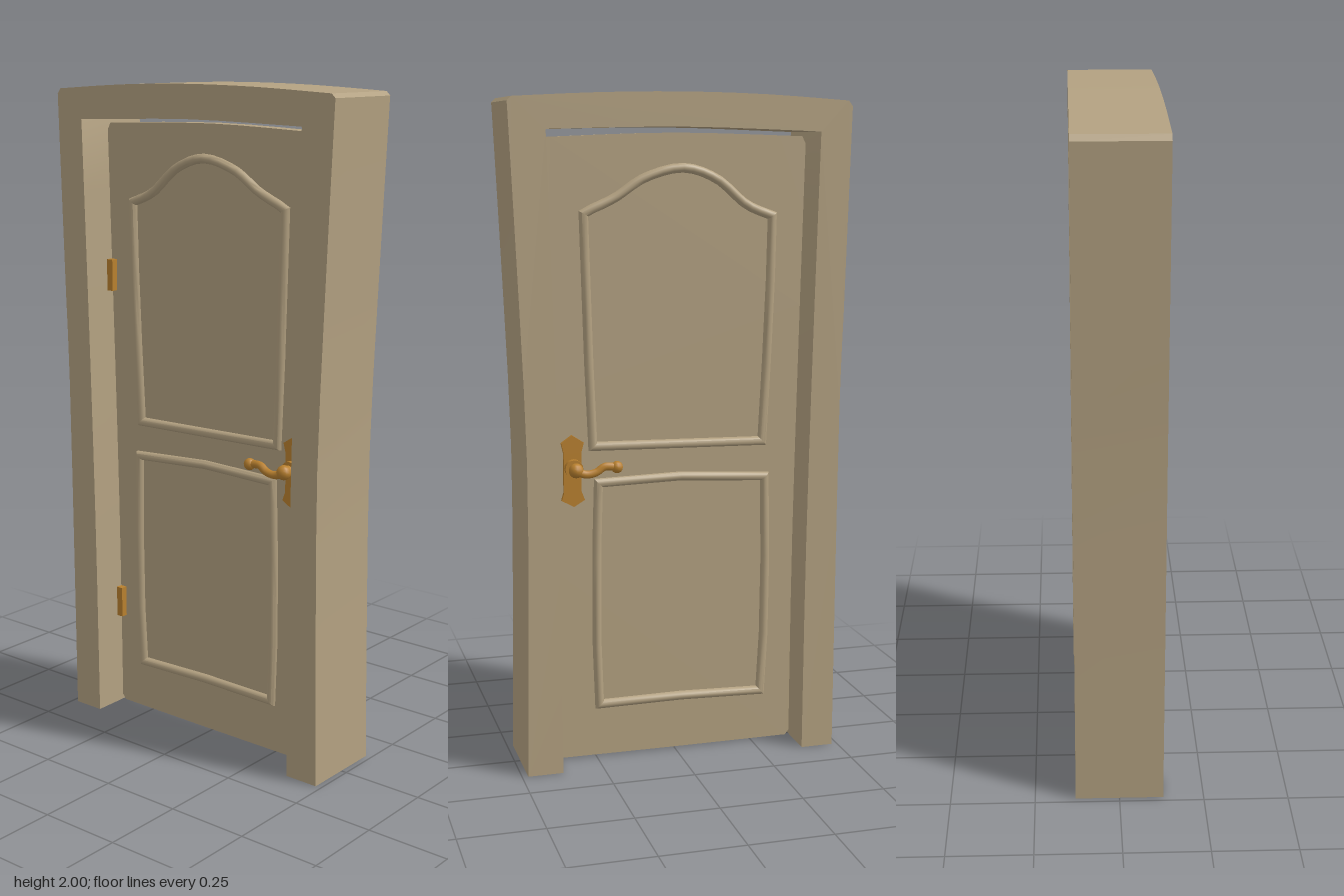
import * as THREE from 'three';
import { toCreasedNormals } from 'three/addons/utils/BufferGeometryUtils.js';

const V2 = (p) => new THREE.Vector2(p[0], p[1]);
// smooth run of points through a few knots
const curve = (knots, n = 8) => new THREE.SplineCurve(knots.map(V2)).getPoints(n);

// flat outline given thickness between z0 and z1
function slab(points, z0, z1) {
  const geo = new THREE.ExtrudeGeometry(new THREE.Shape(points), { depth: z1 - z0, bevelEnabled: false });
  geo.translate(0, 0, z0);
  return toCreasedNormals(geo, 0.45);
}

// remove the faces lying on the ground (the casing is open underneath)
function openBottom(geo) {
  const p = geo.attributes.position, kept = [];
  for (let i = 0; i < p.count; i += 3) {
    if (Math.max(p.getY(i), p.getY(i + 1), p.getY(i + 2)) < 0.001) continue;
    for (let k = i; k < i + 3; k++) kept.push(p.getX(k), p.getY(k), p.getZ(k));
  }
  const out = new THREE.BufferGeometry();
  out.setAttribute('position', new THREE.Float32BufferAttribute(kept, 3));
  return toCreasedNormals(out, 0.45);
}

// half-round bead swept round a closed outline with mitred corners (s = +1 front, -1 back)
function bead(points, radius, z, s) {
  const n = points.length, m = 6, pos = [], idx = [];
  for (let i = 0; i < n; i++) {
    const a = points[(i + n - 1) % n], b = points[i], c = points[(i + 1) % n];
    const d1 = b.clone().sub(a).normalize(), d2 = c.clone().sub(b).normalize();
    const n1 = new THREE.Vector2(d1.y, -d1.x), n2 = new THREE.Vector2(d2.y, -d2.x);
    const mitre = n1.clone().add(n2).normalize();
    mitre.divideScalar(Math.max(0.5, mitre.dot(n1)));
    for (let j = 0; j <= m; j++) {
      const t = Math.PI * j / m, r = Math.cos(t) * radius;
      pos.push(b.x + mitre.x * r, b.y + mitre.y * r, s * (z + Math.sin(t) * radius * 1.1));
    }
    for (let j = 0; j < m; j++) {
      const p = i * (m + 1) + j, q = ((i + 1) % n) * (m + 1) + j;
      if (s > 0) idx.push(p, q, q + 1, p, q + 1, p + 1);
      else idx.push(p, q + 1, q, p, p + 1, q + 1);
    }
  }
  const geo = new THREE.BufferGeometry();
  geo.setAttribute('position', new THREE.Float32BufferAttribute(pos, 3));
  geo.setIndex(idx);
  return toCreasedNormals(geo, 0.7);
}

export function createModel() {
  const wood = new THREE.MeshStandardMaterial({ color: 0xb3a181, side: THREE.DoubleSide });
  wood.name = 'wood';
  const brass = new THREE.MeshStandardMaterial({ color: 0xb8802f });
  brass.name = 'brass';
  const model = new THREE.Group();
  model.name = 'door';
  const add = (parent, name, geo, mat) => {
    const mesh = new THREE.Mesh(geo, mat);
    mesh.name = name;
    parent.add(mesh);
    return mesh;
  };

  // casing: two flared jambs and an arched head, as one outline
  const casing = [
    ...curve([[0.375, 0], [0.378, 0.8], [0.388, 1.4], [0.402, 1.893]]),
    ...curve([[0.40, 1.895], [0, 1.902], [-0.416, 1.889]]),
    ...curve([[-0.415, 1.885], [-0.398, 1.2], [-0.387, 0.6], [-0.383, 0]]),
    ...curve([[-0.483, 0], [-0.487, 1.0], [-0.497, 1.4], [-0.512, 1.962]]),
    ...curve([[-0.5, 1.978], [-0.25, 1.994], [0, 2], [0.25, 1.996], [0.498, 1.984]], 12),
    V2([0.51, 1.972]),
    ...curve([[0.509, 1.955], [0.485, 1.4], [0.47, 0.95], [0.473, 0.5], [0.482, 0]]),
  ];
  add(model, 'casing', openBottom(slab(casing, -0.13, 0.13)), wood);

  // door leaf
  const half = 0.025;
  const leaf = [
    ...curve([[-0.365, 0.005], [0, 0.004], [0.374, 0.005]], 4),
    ...curve([[0.376, 0.02], [0.378, 0.8], [0.386, 1.4], [0.395, 1.852]]),
    ...curve([[0.368, 1.874], [0, 1.886], [-0.395, 1.876]]),
    ...curve([[-0.406, 1.855], [-0.391, 1.2], [-0.38, 0.6], [-0.377, 0.02]]),
  ];
  add(model, 'leaf', slab(leaf, -half, half), wood);

  // panel outlines, counter-clockwise
  const r = 0.014;
  const upper = [
    V2([-0.277, 0.961]), V2([0.252, 0.97]),
    ...curve([[0.262, 1.22], [0.274, 1.655]], 3),
    ...curve([[0.265, 1.662], [0.18, 1.7], [0.09, 1.757], [-0.026, 1.785], [-0.13, 1.752], [-0.22, 1.678], [-0.303, 1.643]], 22).slice(1),
    ...curve([[-0.299, 1.45], [-0.289, 1.2]], 2),
  ];
  const lower = [
    V2([-0.278, 0.163]), V2([-0.02, 0.17]), V2([0.238, 0.167]),
    ...curve([[0.244, 0.35], [0.243, 0.62], [0.236, 0.858]], 6).slice(0, -1), V2([0.236, 0.858]),
    V2([-0.02, 0.865]), V2([-0.286, 0.85]),
    ...curve([[-0.291, 0.6], [-0.288, 0.35]], 3),
  ];

  // escutcheon with flared, pointed ends
  const plate = [
    [0.313, 0.792], [0.35, 0.812], [0.343, 0.835], [0.343, 0.955], [0.35, 0.985],
    [0.317, 1.008], [0.282, 0.985], [0.29, 0.955], [0.29, 0.838], [0.28, 0.812],
  ].map(V2);

  for (const s of [1, -1]) {
    const side = s > 0 ? 'front' : 'back';
    add(model, side + 'UpperMoulding', bead(upper, r, half, s), wood);
    add(model, side + 'LowerMoulding', bead(lower, r, half, s), wood);

    // lever handle
    const handle = new THREE.Group();
    handle.name = side + 'Handle';
    model.add(handle);
    const z0 = s * half, z1 = s * (half + 0.012);
    add(handle, 'plate', slab(plate, Math.min(z0, z1), Math.max(z0, z1)), brass);
    const cyl = (name, rad, len, z) => {
      const geo = new THREE.CylinderGeometry(rad, rad, len, 16);
      geo.rotateX(Math.PI / 2);
      add(handle, name, geo, brass).position.set(0.315, 0.91, s * z);
    };
    cyl('rose', 0.027, 0.02, half + 0.02);
    cyl('spindle', 0.016, 0.045, half + 0.04);
    const path = new THREE.CatmullRomCurve3([
      [0.32, 0.91, 0.08], [0.285, 0.898, 0.082], [0.255, 0.903, 0.082], [0.23, 0.918, 0.081], [0.195, 0.916, 0.08],
    ].map(([x, y, z]) => new THREE.Vector3(x, y, s * z)));
    add(handle, 'lever', new THREE.TubeGeometry(path, 20, 0.012, 8), brass);
    add(handle, 'leverTip', new THREE.SphereGeometry(0.018, 12, 8), brass).position.set(0.192, 0.915, s * 0.08);
    add(handle, 'leverHub', new THREE.SphereGeometry(0.022, 12, 8), brass).position.set(0.315, 0.91, s * 0.078);
  }

  // hinges on the front of the left-hand edge
  for (const [name, x, y] of [['upperHinge', -0.388, 1.413], ['lowerHinge', -0.367, 0.35]]) {
    add(model, name, new THREE.BoxGeometry(0.022, 0.097, 0.025), brass).position.set(x, y, half + 0.008);
  }
  return model;
}
